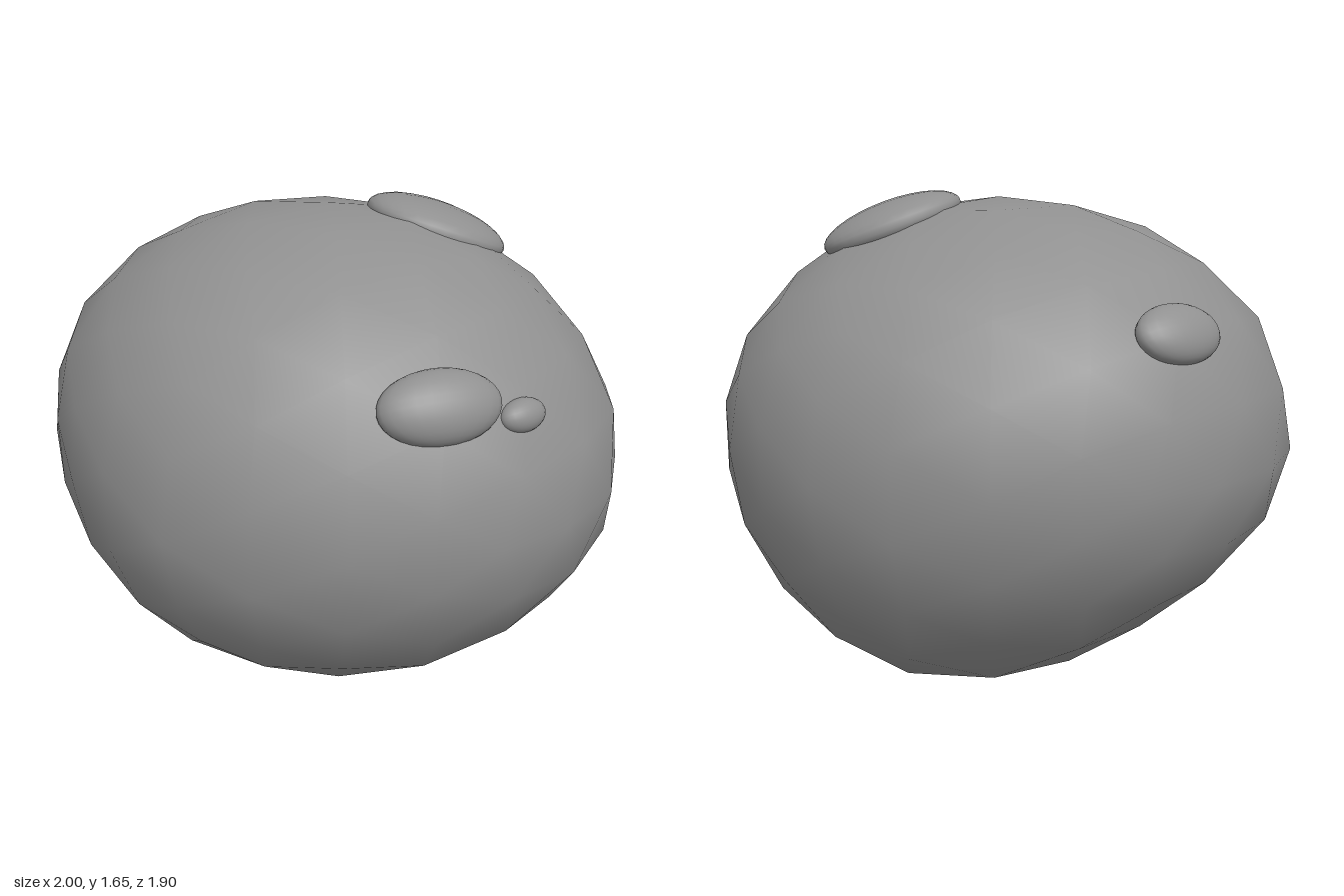
import * as THREE from 'three';
import { mergeVertices } from 'three/addons/utils/BufferGeometryUtils.js';

const CENTRE_Y = 0.84;
const SCALE = new THREE.Vector3(1, 0.82, 0.95);

// Outlines of the boulder in its three main planes
const outlineXY = [[0, 1.63], [0.28, 1.6], [0.54, 1.5], [0.75, 1.33], [0.88, 1.18], [0.97, 1.03], [1, 0.84],
  [0.97, 0.63], [0.86, 0.45], [0.68, 0.28], [0.47, 0.13], [0.22, 0.03], [0, 0], [-0.27, 0.07], [-0.51, 0.21],
  [-0.71, 0.37], [-0.86, 0.52], [-0.94, 0.66], [-1, 0.84], [-0.98, 1.05], [-0.89, 1.25], [-0.72, 1.42],
  [-0.47, 1.55], [-0.22, 1.62]];
const outlineZY = [[0, 1.63], [0.2, 1.615], [0.39, 1.56], [0.64, 1.42], [0.82, 1.25], [0.9, 1.05], [0.95, 0.84],
  [0.9, 0.62], [0.8, 0.44], [0.63, 0.27], [0.39, 0.13], [0.2, 0.06], [0, 0], [-0.27, 0.03], [-0.46, 0.08],
  [-0.7, 0.25], [-0.85, 0.45], [-0.92, 0.65], [-0.95, 0.84], [-0.9, 1.07], [-0.8, 1.25], [-0.65, 1.39],
  [-0.46, 1.5], [-0.2, 1.61]];
const outlineXZ = [[0, -0.95], [0.3, -0.87], [0.57, -0.73], [0.77, -0.53], [0.91, -0.3], [1, -0.03], [0.97, 0.26],
  [0.84, 0.52], [0.61, 0.73], [0.33, 0.88], [0, 0.95], [-0.32, 0.86], [-0.58, 0.69], [-0.8, 0.5], [-0.96, 0.25],
  [-1, -0.03], [-0.94, -0.3], [-0.8, -0.54], [-0.58, -0.75], [-0.32, -0.91]];

// Turns an outline into a function: angle -> radius relative to the base ellipsoid
function radial(points, su, sv, v0) {
  const polar = points.map(([u, v]) => {
    const a = u / su, b = (v - v0) / sv;
    return [Math.atan2(b, a), Math.hypot(a, b)];
  }).sort((p, q) => p[0] - q[0]);
  const first = polar[0], last = polar[polar.length - 1];
  polar.unshift([last[0] - 2 * Math.PI, last[1]]);
  polar.push([first[0] + 2 * Math.PI, first[1]]);
  return (u, v) => {
    const angle = Math.atan2(v, u);
    let i = 1;
    while (i < polar.length - 1 && polar[i][0] < angle) i++;
    const [a0, r0] = polar[i - 1], [a1, r1] = polar[i];
    return r0 + (r1 - r0) * (angle - a0) / (a1 - a0);
  };
}

// Icosphere pushed in and out by blending the three outlines
function boulderGeometry() {
  const geometry = new THREE.IcosahedronGeometry(1, 3);
  geometry.deleteAttribute('uv');
  geometry.deleteAttribute('normal');
  const merged = mergeVertices(geometry, 1e-4);
  const xy = radial(outlineXY, SCALE.x, SCALE.y, CENTRE_Y);
  const zy = radial(outlineZY, SCALE.z, SCALE.y, CENTRE_Y);
  const xz = radial(outlineXZ, SCALE.x, SCALE.z, 0);
  const position = merged.attributes.position;
  const p = new THREE.Vector3();
  const weight = (d) => 1 / (d * d + 0.02);
  for (let i = 0; i < position.count; i++) {
    p.fromBufferAttribute(position, i).normalize();
    const wx = weight(p.x), wy = weight(p.y), wz = weight(p.z);
    const r = (wz * xy(p.x, p.y) + wx * zy(p.z, p.y) + wy * xz(p.x, p.z)) / (wx + wy + wz);
    p.multiplyScalar(r).multiply(SCALE);
    position.setXYZ(i, p.x, p.y + CENTRE_Y, p.z);
  }
  merged.computeVertexNormals();
  return merged;
}

export function createModel() {
  const group = new THREE.Group();
  group.name = 'boulder';
  const stone = new THREE.MeshStandardMaterial({ color: 0x909090 });
  stone.name = 'grey stone';

  const body = new THREE.Mesh(boulderGeometry(), stone);
  body.name = 'boulderBody';
  group.add(body);

  // Flattened lumps lying against the surface: name, centre, radii (across, up, outward)
  const lumps = [
    ['frontLump', [0.64, 1.23, 0.51], [0.185, 0.11, 0.08]],
    ['smallLump', [0.81, 1.175, 0.32], [0.08, 0.05, 0.045]],
    ['topLump', [0.27, 1.54, -0.23], [0.22, 0.24, 0.08]],
    ['sideLump', [-0.8, 1.26, -0.27], [0.15, 0.095, 0.06]],
  ];
  const sphere = new THREE.SphereGeometry(1, 24, 16);
  for (const [name, centre, radii] of lumps) {
    const lump = new THREE.Mesh(sphere, stone);
    lump.name = name;
    lump.position.set(...centre);
    lump.scale.set(...radii);
    const [x, y, z] = centre;
    lump.lookAt(x * 2, y + (y - CENTRE_Y) / 0.67, z + z / 0.9);
    group.add(lump);
  }
  return group;
}
